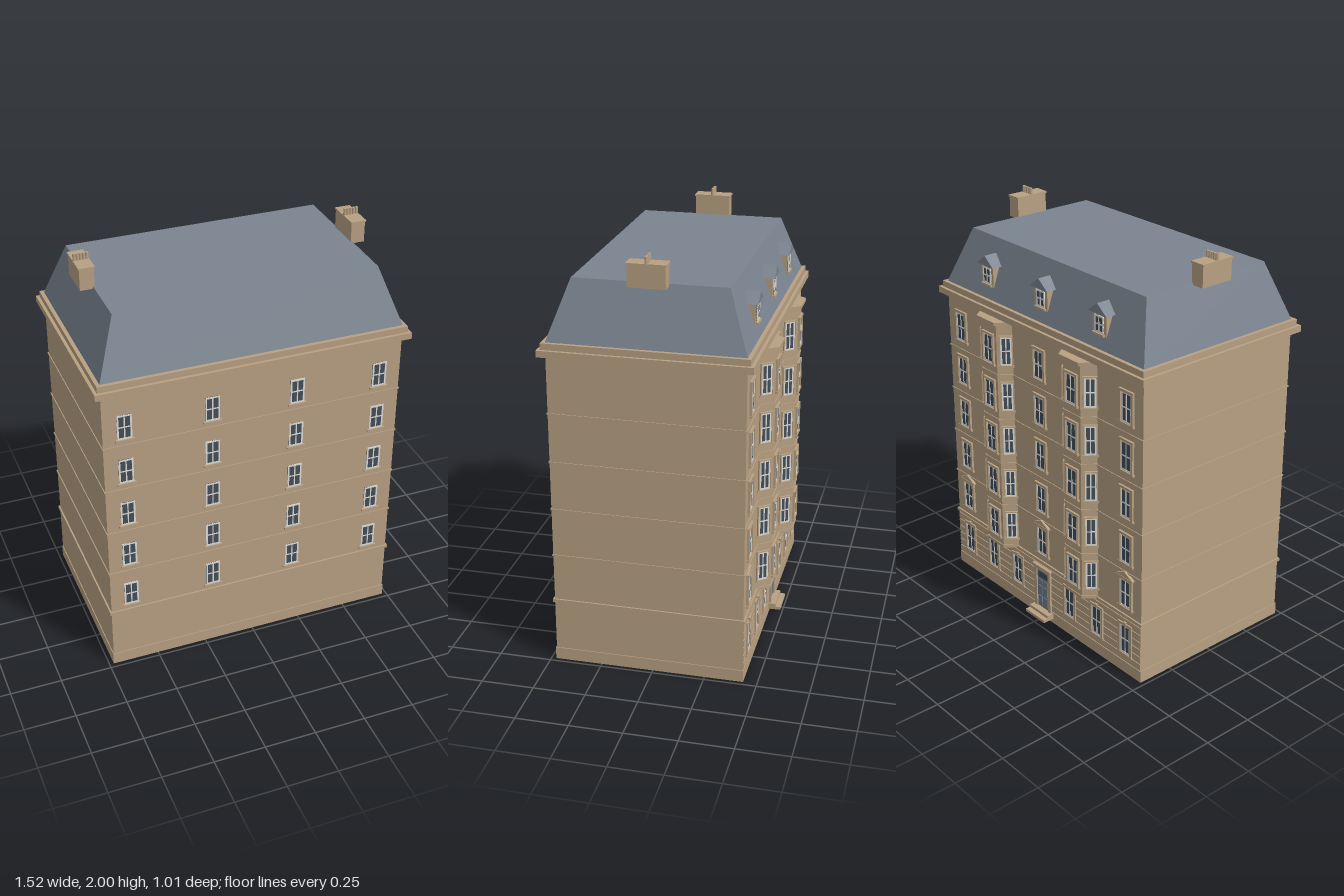
import * as THREE from 'three';

const mat = (name, color) => Object.assign(new THREE.MeshStandardMaterial({ color }), { name });

export function createModel() {
  const stone = mat('stone', 0xb8a082);
  const slate = mat('slate', 0x7a838f);
  const frameWhite = mat('frame white', 0xdedcd5);
  const glass = mat('glass', 0x434d59);
  const doorPaint = mat('door paint', 0x717d8b);

  const house = new THREE.Group();
  house.name = 'townhouse';

  const add = (parent, name, geo, material) => {
    const m = new THREE.Mesh(geo, material);
    m.name = name;
    parent.add(m);
    return m;
  };
  // box given by its min and max on each axis
  const box = (parent, name, material, x0, x1, y0, y1, z0, z1) => {
    const m = add(parent, name, new THREE.BoxGeometry(x1 - x0, y1 - y0, z1 - z0), material);
    m.position.set((x0 + x1) / 2, (y0 + y1) / 2, (z0 + z1) / 2);
    return m;
  };
  const extrude = (pts, depth) => new THREE.ExtrudeGeometry(
    new THREE.Shape(pts.map(p => new THREE.Vector2(...p))), { depth, bevelEnabled: false });

  const X = 0.725, ZB = -0.43, ZF = 0.473;
  // horizontal course around the whole body
  const course = (name, y0, y1, out) => box(house, name, stone, -X - out, X + out, y0, y1, ZB - out, ZF + out);

  // main body, plinth, floor bands and cornice
  course('walls', 0, 1.56, 0);
  course('plinth', 0, 0.06, 0.004);
  course('firstBand', 0.308, 0.324, 0.008);
  for (let i = 1; i < 5; i++) course('floorBand', 0.313 + 0.2355 * i, 0.321 + 0.2355 * i, 0.004);
  course('corniceLower', 1.535, 1.566, 0.033);
  course('corniceUpper', 1.566, 1.596, 0.018);

  // mansard roof: a box whose top is drawn in
  const roofGeo = new THREE.BoxGeometry(2 * X, 0.275, ZF - ZB).toNonIndexed();
  const p = roofGeo.attributes.position;
  for (let i = 0; i < p.count; i++) {
    if (p.getY(i) > 0) {
      p.setX(i, p.getX(i) - Math.sign(p.getX(i)) * 0.097);
      p.setZ(i, p.getZ(i) - Math.sign(p.getZ(i)) * 0.097);
    }
  }
  roofGeo.computeVertexNormals();
  add(house, 'mansardRoof', roofGeo, slate).position.set(0, 1.7325, (ZF + ZB) / 2);

  // chimneys with a row of pots
  for (const s of [-1, 1]) {
    const c = new THREE.Group();
    c.name = 'chimney';
    c.position.set(s * 0.655, 0, 0.021);
    box(c, 'chimneyStack', stone, -0.034, 0.034, 1.86, 1.96, -0.086, 0.086);
    box(c, 'chimneyCap', stone, -0.038, 0.038, 1.96, 1.969, -0.09, 0.09);
    for (let i = 0; i < 5; i++) {
      add(c, 'chimneyPot', new THREE.CylinderGeometry(0.007, 0.008, 0.032, 10), stone)
        .position.set((i - 2) * 0.0145, 1.984, 0);
    }
    house.add(c);
  }

  // window facing +z, standing on its sill at the origin
  const makeWindow = (parent, x, y, z, w, h, { trim = 0, sill = 0.01, turn = 0, pediment = false, keystone = false } = {}) => {
    const g = new THREE.Group();
    g.name = 'window';
    g.position.set(x, y, z);
    g.rotation.y = turn;
    const a = w / 2, b = 0.008;
    const d = trim ? 0.007 : 0.005;
    box(g, 'pane', glass, -a, a, 0, h, -0.002, d - 0.002);
    for (const s of [-1, 0, 1]) {
      const c = s * (a - b / 2), k = s ? b / 2 : 0.003;
      box(g, 'frameUpright', frameWhite, c - k, c + k, 0, h, 0, d);
    }
    for (const c of [b / 2, h / 2, h - b / 2]) {
      const k = c === h / 2 ? 0.003 : b / 2;
      box(g, 'frameRail', frameWhite, -a, a, c - k, c + k, 0, d - 0.0004);
    }
    if (trim) {
      const t = a + trim;
      for (const s of [-1, 1]) box(g, 'surroundSide', stone, s * (a + trim / 2) - trim / 2, s * (a + trim / 2) + trim / 2, 0, h, 0, 0.011);
      box(g, 'surroundHead', stone, -t, t, h, h + trim, 0, 0.011);
    }
    if (sill) box(g, 'sill', stone, -a - sill, a + sill, -0.01, 0, 0, 0.012);
    if (pediment) {
      const t = a + 0.022, y0 = h + trim;
      box(g, 'pedimentBase', stone, -t, t, y0, y0 + 0.007, 0, 0.016);
      add(g, 'pediment', extrude([[-t, y0 + 0.007], [t, y0 + 0.007], [0, y0 + 0.035]], 0.014), stone);
    }
    if (keystone) add(g, 'keystone', extrude([[-0.006, h], [0.006, h], [0.01, h + 0.02], [-0.01, h + 0.02]], 0.014), stone);
    parent.add(g);
  };

  // plain side: a grid of small windows
  const floorY = i => 0.354 + 0.2355 * i;
  for (let f = 0; f < 5; f++) {
    for (const x of [-0.623, -0.209, 0.205, 0.619]) makeWindow(house, x, floorY(f), ZF, 0.07, 0.125);
  }

  // decorated side, built facing +z and turned round
  const back = new THREE.Group();
  back.name = 'entranceFacade';
  back.rotation.y = Math.PI;
  house.add(back);
  const W = -ZB;

  // rusticated ground floor
  for (let i = 0; i < 6; i++) box(back, 'rustication', stone, -X, X, 0.066 + i * 0.04, 0.099 + i * 0.04, W - 0.01, W + 0.004);
  for (const s of [-1, 1]) {
    for (const x of [0.207, 0.413, 0.62]) makeWindow(back, s * x, 0.11, W, 0.07, 0.155, { trim: 0.012, sill: 0.016, keystone: true });
  }

  // upper windows, the lowest row with pediments
  for (let f = 0; f < 5; f++) {
    for (const x of [-0.62, 0, 0.62]) {
      makeWindow(back, x, floorY(f) + 0.014, W, 0.07, 0.145, { trim: 0.012, sill: 0.017, pediment: f === 0 });
    }
  }

  // canted bays
  const FX = 0.06, WX = 0.115, BZ = 0.49;
  const bayGeo = (out, y0, y1) => {
    const f = FX + out * 0.45, w = WX + out, z = BZ + out;
    const g = extrude([[-w, -W + 0.01], [-f, -z], [f, -z], [w, -W + 0.01]], y1 - y0);
    return g.rotateX(-Math.PI / 2).translate(0, y0, 0);
  };
  const cant = Math.atan2(WX - FX, BZ - W + 0.01);
  for (const s of [-1, 1]) {
    const bay = new THREE.Group();
    bay.name = 'bay';
    bay.position.x = s * 0.311;
    back.add(bay);
    add(bay, 'bayWalls', bayGeo(0, 0.315, 1.53), stone);
    add(bay, 'bayCap', bayGeo(0.018, 1.52, 1.536), stone);
    add(bay, 'bayBase', bayGeo(0.004, 0.315, 0.33), stone);
    for (let f = 0; f < 5; f++) {
      const y = floorY(f) + 0.018;
      if (f) add(bay, 'bayBand', bayGeo(0.004, y - 0.055, y - 0.047), stone);
      makeWindow(bay, 0, y, BZ, 0.072, 0.145, { trim: 0.009, sill: 0.014 });
      for (const t of [-1, 1]) {
        makeWindow(bay, t * (FX + WX) / 2, y, (BZ + W - 0.01) / 2, 0.054, 0.145,
          { trim: 0.006, sill: 0.01, turn: t * (Math.PI / 2 - cant) });
      }
    }
  }

  // entrance door with surround and steps
  box(back, 'door', doorPaint, -0.045, 0.045, 0.055, 0.27, W, W + 0.007);
  for (const s of [-1, 1]) {
    box(back, 'doorJamb', stone, s * 0.053 - 0.009, s * 0.053 + 0.009, 0.055, 0.27, W, W + 0.014);
    for (const [y0, y1] of [[0.07, 0.12], [0.13, 0.18], [0.19, 0.215]]) {
      box(back, 'doorPanel', doorPaint, s * 0.021 - 0.014, s * 0.021 + 0.014, y0, y1, W, W + 0.011);
    }
  }
  box(back, 'fanlight', glass, -0.036, 0.036, 0.228, 0.26, W, W + 0.009);
  box(back, 'doorLintel', stone, -0.062, 0.062, 0.27, 0.288, W, W + 0.014);
  box(back, 'doorCornice', stone, -0.07, 0.07, 0.288, 0.297, W, W + 0.02);
  box(back, 'lowerStep', stone, -0.073, 0.073, 0.025, 0.04, W - 0.01, 0.495);
  box(back, 'upperStep', stone, -0.073, 0.073, 0.04, 0.055, W - 0.01, 0.47);

  // dormers
  for (const x of [-0.412, 0, 0.412]) {
    const d = new THREE.Group();
    d.name = 'dormer';
    d.position.x = x;
    back.add(d);
    box(d, 'dormerWalls', stone, -0.047, 0.047, 1.652, 1.757, 0.36, 0.412);
    add(d, 'dormerRoof', extrude([[-0.063, 1.754], [0.063, 1.754], [0, 1.803]], 0.077), slate).position.z = 0.348;
    makeWindow(d, 0, 1.664, 0.412, 0.062, 0.08, { sill: 0.008 });
  }

  return house;
}
